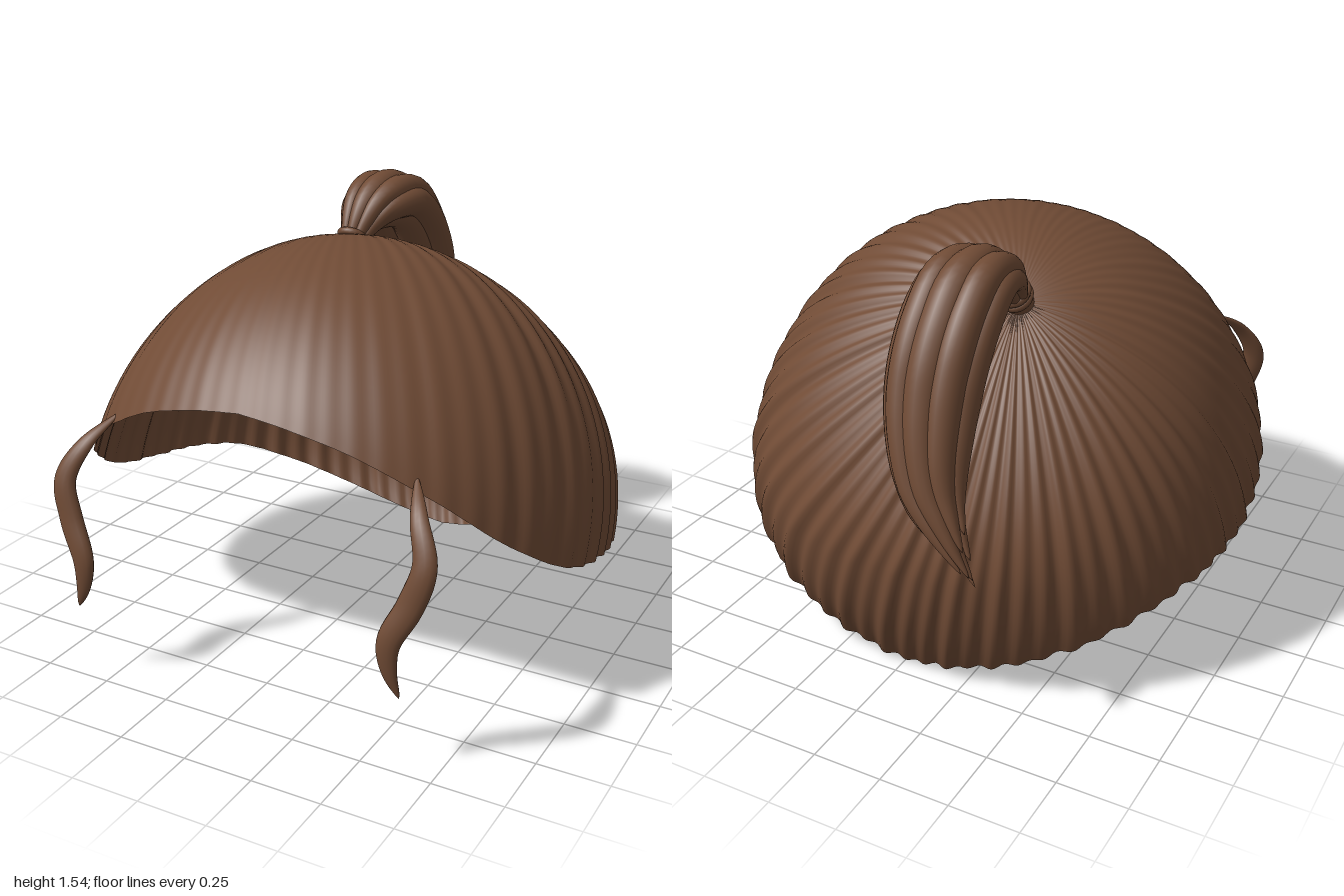
import * as THREE from 'three';

const V = (x, y, z) => new THREE.Vector3(x, y, z);

// Smooth surface from rings of points; each ring closes on itself
function ringSurface(rows, cols, pointAt) {
  const pos = [], index = [];
  for (let i = 0; i <= rows; i++) {
    for (let j = 0; j < cols; j++) pos.push(...pointAt(i / rows, j / cols).toArray());
  }
  for (let i = 0; i < rows; i++) {
    for (let j = 0; j < cols; j++) {
      const k = (j + 1) % cols;
      const a = i * cols + j, b = i * cols + k, c = (i + 1) * cols + k, d = (i + 1) * cols + j;
      index.push(a, b, c, a, c, d);
    }
  }
  const geo = new THREE.BufferGeometry();
  geo.setAttribute('position', new THREE.Float32BufferAttribute(pos, 3));
  geo.setIndex(index);
  geo.computeVertexNormals();
  return geo;
}

// Frame on a curve: side stays close to the x axis
function frameAt(curve, t) {
  const T = curve.getTangent(t);
  const B = V(1, 0, 0).addScaledVector(T, -T.x).normalize();
  return { p: curve.getPoint(t), B, N: T.clone().cross(B) };
}

// Tapered lock of hair along a curve
function lock(curve, radius, flatten, rows = 40, cols = 14) {
  return ringSurface(rows, cols, (t, s) => {
    const { p, B, N } = frameAt(curve, t);
    const r = radius(t), a = s * Math.PI * 2;
    return p.addScaledVector(B, r * Math.cos(a)).addScaledVector(N, r * flatten * Math.sin(a));
  });
}

// Cap: strands run from the tie point over a dome to an uneven rim
function capGeometry() {
  const rimHeights = [0.612, 0.585, 0.52, 0.39, 0.2, 0.04, -0.045, -0.09, -0.15, -0.27, -0.39, -0.48, -0.525];
  const rim = new THREE.SplineCurve(rimHeights.map((h, i) => new THREE.Vector2(i, h)));
  const pole = V(-0.242, 0.887, -0.393).normalize();

  return ringSurface(40, 420, (t, s) => {
    const theta = Math.PI - s * Math.PI * 2;
    const h = rim.getPoint(Math.abs(theta) / Math.PI).y;
    const w = Math.sqrt(1 - h * h);
    const end = V(Math.sin(theta) * w, h, Math.cos(theta) * w);
    const angle = pole.angleTo(end);
    const u = pole.clone().multiplyScalar(Math.sin((1 - t) * angle))
      .addScaledVector(end, Math.sin(t * angle)).divideScalar(Math.sin(angle));

    // ribs grow away from the tie and fade at the front
    const back = 0.12 + 0.88 * THREE.MathUtils.smoothstep(Math.abs(theta), 0.5, 1.7);
    const wave = Math.cos(62 * theta) + 0.45 * Math.cos(37 * theta + 1) + 0.3 * Math.sin(23 * theta);
    u.multiplyScalar(1 + 0.0075 * wave * back * Math.sin(Math.min(1, t * 1.5) * Math.PI / 2));

    // dome proportions: flatter behind, slightly square in plan
    const round = Math.hypot(u.x, u.z) || 1;
    const square = 1 + 0.03 * (2 * u.x * u.z / (round * round)) ** 2 * round ** 2;
    const dz = u.z * (u.z > 0 ? 1.0 : 0.89);
    const top = 0.98 - (dz < 0 ? 0.43 * dz * dz : 0);
    return V(u.x * 0.945 * square, 0.45 + u.y * (u.y > 0 ? top : 0.85), 0.08 + dz * square);
  });
}

export function createModel() {
  const group = new THREE.Group();
  const hair = new THREE.MeshStandardMaterial({ color: 0x704b35, side: THREE.DoubleSide });
  hair.name = 'brown hair';
  const add = (name, geo, parent = group) => {
    const mesh = new THREE.Mesh(geo, hair);
    mesh.name = name;
    parent.add(mesh);
    return mesh;
  };

  add('hairCap', capGeometry());

  // Ponytail: a bundle of locks around one arching centre line
  const tail = new THREE.Group();
  tail.name = 'ponytail';
  group.add(tail);
  const spine = new THREE.CatmullRomCurve3([
    V(-0.23, 1.3, -0.3), V(-0.215, 1.41, -0.4), V(-0.19, 1.43, -0.53), V(-0.18, 1.3, -0.67),
    V(-0.185, 1.1, -0.775), V(-0.24, 0.88, -0.87), V(-0.34, 0.74, -0.925), V(-0.44, 0.61, -0.95),
  ]);
  const swell = new THREE.SplineCurve([0.3, 0.68, 0.95, 1, 0.95, 0.72, 0.42, 0.2]
    .map((v, i) => new THREE.Vector2(i, v)));
  // side offset, depth offset, thickness, length
  const locks = [
    [0, 0.05, 0.07, 0.97], [-0.075, 0.045, 0.062, 0.9], [0.075, 0.045, 0.062, 0.95],
    [-0.115, -0.005, 0.055, 0.86], [0.115, -0.005, 0.06, 0.9],
    [-0.055, -0.055, 0.066, 0.93], [0.055, -0.055, 0.066, 1], [0, 0, 0.08, 0.98],
  ];
  locks.forEach(([side, depth, thick, length], i) => {
    const pts = [];
    for (let k = 0; k <= 12; k++) {
      const t = (k / 12) * length;
      const { p, B, N } = frameAt(spine, t);
      const s = swell.getPoint(t).y;
      pts.push(p.addScaledVector(B, side * s).addScaledVector(N, -depth * s));
    }
    const radius = t => thick * swell.getPoint(t * length).y
      * Math.sqrt(Math.max(0, 1 - Math.max(0, (t - 0.72) / 0.28) ** 2));
    add('ponytailLock' + (i + 1), lock(new THREE.CatmullRomCurve3(pts), radius, 1, 48, 16), tail);
  });

  // Hair tie: a short ridged root wrapped by two bands
  const tie = new THREE.Group();
  tie.name = 'hairTie';
  tie.position.set(-0.23, 1.3, -0.29);
  tie.quaternion.setFromUnitVectors(V(0, 1, 0), V(0.02, 0.8, -0.6).normalize());
  group.add(tie);
  add('tieRoot', new THREE.CylinderGeometry(0.046, 0.052, 0.12, 20), tie).position.y = -0.02;
  for (const y of [0, 0.028]) {
    const band = add('tieBand', new THREE.TorusGeometry(0.046, 0.016, 10, 28), tie);
    band.rotation.x = Math.PI / 2;
    band.position.y = y;
  }

  // Loose curved locks framing the face
  for (const side of [1, -1]) {
    const path = new THREE.CatmullRomCurve3([
      [0.57, 0.9, 0.755], [0.63, 0.82, 0.86], [0.68, 0.7, 0.92], [0.645, 0.57, 0.945],
      [0.585, 0.44, 0.972], [0.59, 0.34, 0.975], [0.622, 0.25, 0.968],
    ].map(([x, y, z]) => V(side * x, y, z)));
    const radius = t => 0.046 * Math.pow(Math.sin(Math.PI * Math.min(1, 0.02 + t * 0.98)), 0.7);
    add(side > 0 ? 'leftFaceLock' : 'rightFaceLock', lock(path, radius, 0.55));
  }
  return group;
}
